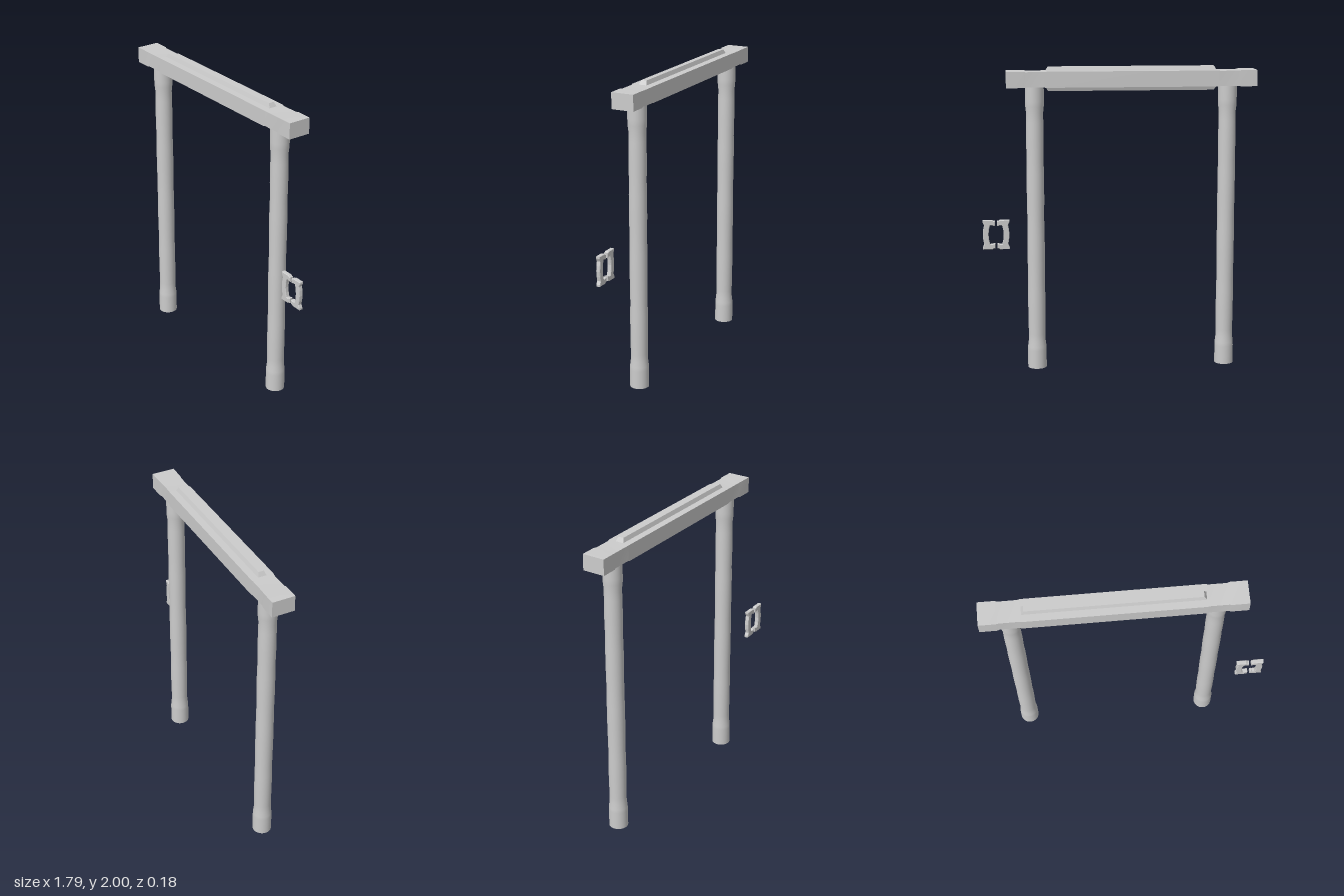
import * as THREE from 'three';

const material = new THREE.MeshStandardMaterial({ color: 0xcccccc });
const AXIS_Z = -0.014;

function addMesh(parent, name, geometry, x = 0, y = 0, z = 0) {
  const mesh = new THREE.Mesh(geometry, material);
  mesh.name = name;
  mesh.position.set(x, y, z);
  parent.add(mesh);
  return mesh;
}

// Turned post with a swollen foot and head and a faintly wavy shaft
function postGeometry() {
  const profile = [
    [0.062, 0], [0.062, 0.12], [0.061, 0.145], [0.056, 0.185], [0.055, 0.23],
    [0.057, 0.36], [0.057, 0.5], [0.055, 0.58], [0.057, 0.75], [0.057, 0.9],
    [0.055, 1.0], [0.057, 1.15], [0.057, 1.3], [0.055, 1.38], [0.057, 1.5],
    [0.056, 1.64], [0.055, 1.7], [0.06, 1.745], [0.061, 1.78], [0.061, 1.88],
  ].map(([r, y]) => new THREE.Vector2(r, y));
  return new THREE.LatheGeometry(profile, 32);
}

// Square beam whose section narrows slightly at the two necks
function beamGeometry() {
  const stations = [
    [-0.897, 1], [-0.79, 1], [-0.775, 0.94], [-0.655, 0.94], [-0.64, 0.99],
    [0.47, 0.99], [0.485, 0.94], [0.6, 0.94], [0.615, 1], [0.724, 1],
  ];
  const n = stations.length - 1;
  const geometry = new THREE.BoxGeometry(1, 0.104, 0.15, n);
  const p = geometry.attributes.position;
  for (let i = 0; i < p.count; i++) {
    const [x, s] = stations[Math.round((p.getX(i) + 0.5) * n)];
    p.setXYZ(i, x, p.getY(i) * s, p.getZ(i) * s);
  }
  geometry.computeVertexNormals();
  return geometry;
}

// Long strip with sloping sides and ends
function ridgeGeometry() {
  const geometry = new THREE.BoxGeometry(1.116, 0.034, 0.06);
  const p = geometry.attributes.position;
  for (let i = 0; i < p.count; i++) {
    if (p.getY(i) > 0) {
      p.setX(i, p.getX(i) - Math.sign(p.getX(i)) * 0.02);
      p.setZ(i, p.getZ(i) * 0.6);
    }
  }
  geometry.computeVertexNormals();
  return geometry;
}

// One half of the split frame; side = 1 or -1 mirrors the outline
function handleGeometry(side) {
  const upper = [
    [0.007, 0.06], [0.007, 0.092], [0.018, 0.092], [0.024, 0.098],
    [0.089, 0.098], [0.089, 0.085], [0.079, 0.064], [0.085, 0.035], [0.088, 0],
  ];
  const inner = [[0.05, 0], [0.047, 0.035], [0.04, 0.064], [0.024, 0.064], [0.018, 0.06]];
  const flip = (list) => list.map(([u, v]) => [u, -v]).reverse();
  const outline = [
    ...upper, ...flip(upper).slice(1), ...flip(inner).slice(0, -1), ...inner,
  ].map(([u, v]) => new THREE.Vector2(u * side, v));
  return new THREE.ExtrudeGeometry(new THREE.Shape(outline), {
    depth: 0.022, bevelEnabled: true, bevelThickness: 0.003,
    bevelSize: 0.003, bevelOffset: -0.003, bevelSegments: 1,
  });
}

export function createModel() {
  const model = new THREE.Group();
  model.name = 'gateFrame';

  // Posts
  const post = postGeometry();
  for (const [name, x] of [['rightPost', -0.715], ['leftPost', 0.542]]) {
    const group = new THREE.Group();
    group.name = name;
    group.position.set(x, 0, AXIS_Z);
    model.add(group);
    addMesh(group, 'shaft', post);
    addMesh(group, 'foot', new THREE.CircleGeometry(0.062, 32)).rotation.x = Math.PI / 2;
  }

  // Lintel with a ridge above and below
  addMesh(model, 'lintel', beamGeometry(), 0, 1.922, -0.015);
  addMesh(model, 'topRidge', ridgeGeometry(), -0.084, 1.983, AXIS_Z);
  addMesh(model, 'bottomRidge', ridgeGeometry(), -0.084, 1.861, AXIS_Z).rotation.x = Math.PI;

  // Pair of door handles
  const handles = new THREE.Group();
  handles.name = 'handles';
  handles.position.set(0.803, 0.886, 0.064);
  model.add(handles);
  addMesh(handles, 'rightHandle', handleGeometry(-1));
  addMesh(handles, 'leftHandle', handleGeometry(1));

  return model;
}
